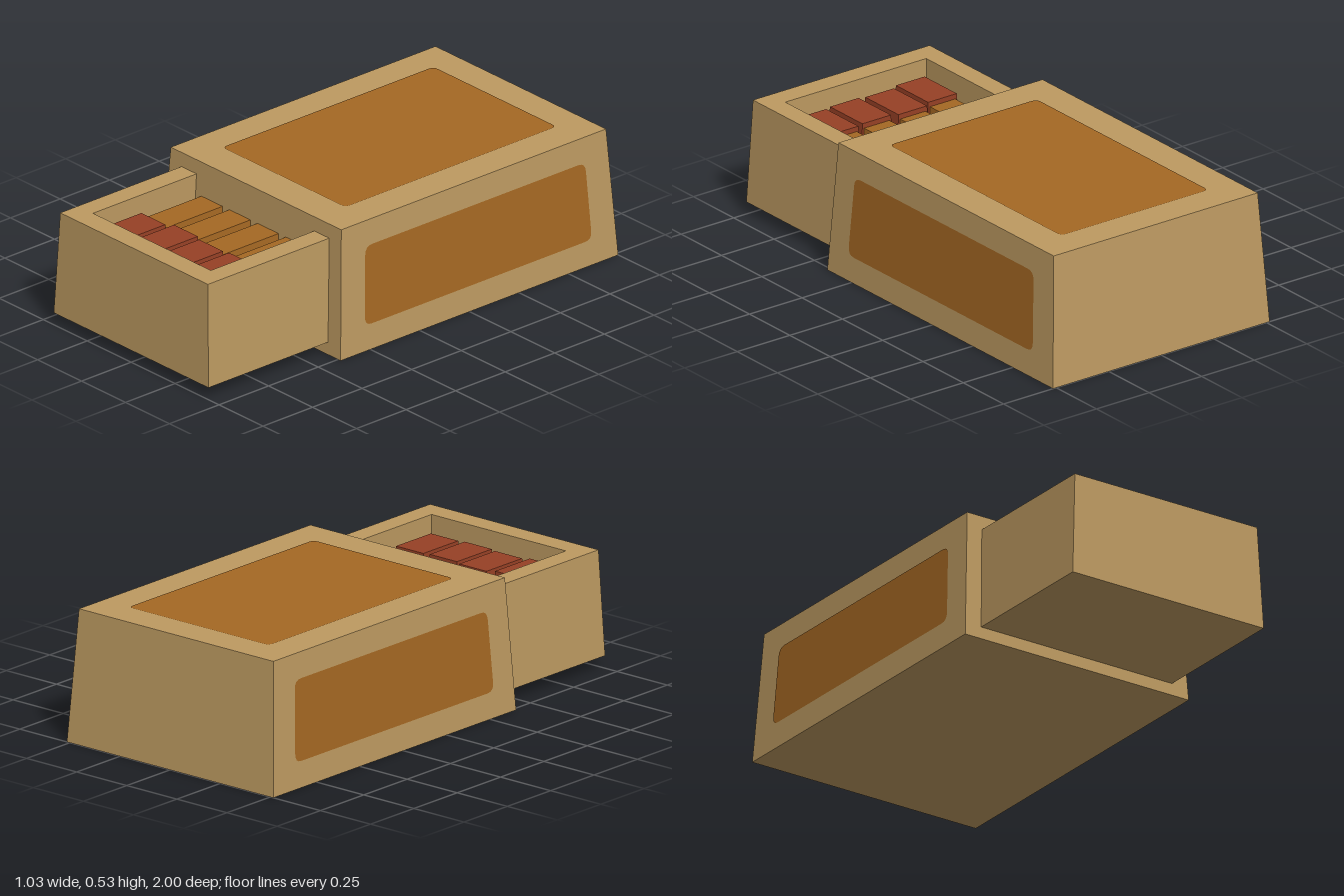
import * as THREE from 'three';

const material = (name, color) => {
  const m = new THREE.MeshStandardMaterial({ color });
  m.name = name;
  return m;
};

// Tapered block between a bottom and a top rectangle, each [x0, x1, z0, z1]
function taperedBlock(bottom, top, y0, y1) {
  const geo = new THREE.BoxGeometry(1, 1, 1);
  const p = geo.attributes.position;
  for (let i = 0; i < p.count; i++) {
    const r = p.getY(i) > 0 ? top : bottom;
    p.setXYZ(i, r[p.getX(i) > 0 ? 1 : 0], p.getY(i) > 0 ? y1 : y0, r[p.getZ(i) > 0 ? 3 : 2]);
  }
  geo.computeVertexNormals();
  return geo;
}

// Flat polygon with rounded corners, then placed in space by a rule
function roundedPanel(corners, radius, place) {
  const pts = corners.map(([x, y]) => new THREE.Vector2(x, y));
  const shape = new THREE.Shape();
  pts.forEach((c, i) => {
    const before = pts[(i + pts.length - 1) % pts.length];
    const after = pts[(i + 1) % pts.length];
    const a = before.clone().sub(c).setLength(radius).add(c);
    const b = after.clone().sub(c).setLength(radius).add(c);
    if (i === 0) shape.moveTo(a.x, a.y);
    else shape.lineTo(a.x, a.y);
    shape.quadraticCurveTo(c.x, c.y, b.x, b.y);
  });
  shape.closePath();
  const geo = new THREE.ShapeGeometry(shape, 4);
  const p = geo.attributes.position;
  for (let i = 0; i < p.count; i++) p.setXYZ(i, ...place(p.getX(i), p.getY(i)));
  geo.computeVertexNormals();
  return geo;
}

export function createModel() {
  const group = new THREE.Group();
  const card = material('cardboard', 0xbd9a61);
  const brown = material('brown', 0xa56823);
  const red = material('red', 0x964025);

  const add = (name, geo, mat, parent = group) => {
    const mesh = new THREE.Mesh(geo, mat);
    mesh.name = name;
    parent.add(mesh);
  };

  // Outer sleeve
  const H = 0.527;
  add('sleeve', taperedBlock([-0.515, 0.515, -1, 0.4], [-0.485, 0.485, -0.965, 0.37], 0, H), card);

  // Painted panels on the top and both sides of the sleeve
  const lift = 0.003;
  add('topPanel', roundedPanel(
    [[-0.35, -0.23], [0.35, -0.23], [0.35, 0.835], [-0.35, 0.835]], 0.025,
    (u, v) => [u, H + lift, -v]), brown);
  for (const s of [1, -1]) {
    const corners = [[0.275, 0.105], [-0.87, 0.105], [-0.852, 0.425], [0.257, 0.425]]
      .map(([z, y]) => [-s * z, y]);
    add(s > 0 ? 'leftStrikingPanel' : 'rightStrikingPanel', roundedPanel(corners, 0.035,
      (u, v) => [s * (0.515 - 0.03 * v / H + lift), v, -s * u]), brown);
  }

  // Tray: floor, front wall and side walls, running into the sleeve
  const tray = new THREE.Group();
  tray.name = 'tray';
  group.add(tray);
  const y0 = 0.05, y1 = 0.47, back = 0.3, inX = 0.335, inZ = 0.895, floor = 0.25;
  add('trayFront', taperedBlock([-0.44, 0.44, inZ, 1], [-0.42, 0.42, inZ, 0.985], y0, y1), card, tray);
  add('trayLeftWall', taperedBlock([inX, 0.44, back, inZ], [inX, 0.42, back, inZ], y0, y1), card, tray);
  add('trayRightWall', taperedBlock([-0.44, -inX, back, inZ], [-0.42, -inX, back, inZ], y0, y1), card, tray);
  const floorRect = [-inX, inX, back, inZ];
  add('trayFloor', taperedBlock(floorRect, floorRect, y0, floor), card, tray);

  // Matches: [centre x, head start z, head end z]
  const matches = [[-0.242, 0.668, 0.885], [-0.083, 0.645, 0.868], [0.077, 0.66, 0.878], [0.238, 0.652, 0.87]];
  matches.forEach(([x, z0, z1], i) => {
    const match = new THREE.Group();
    match.name = 'match' + (i + 1);
    group.add(match);
    add('stick', taperedBlock([x - 0.068, x + 0.068, back, z0 + 0.02],
      [x - 0.06, x + 0.06, back, z0 + 0.02], floor + 0.005, 0.39), brown, match);
    add('head', taperedBlock([x - 0.077, x + 0.077, z0, z1],
      [x - 0.068, x + 0.068, z0 + 0.005, z1 - 0.012], floor + 0.002, 0.41), red, match);
  });

  return group;
}
